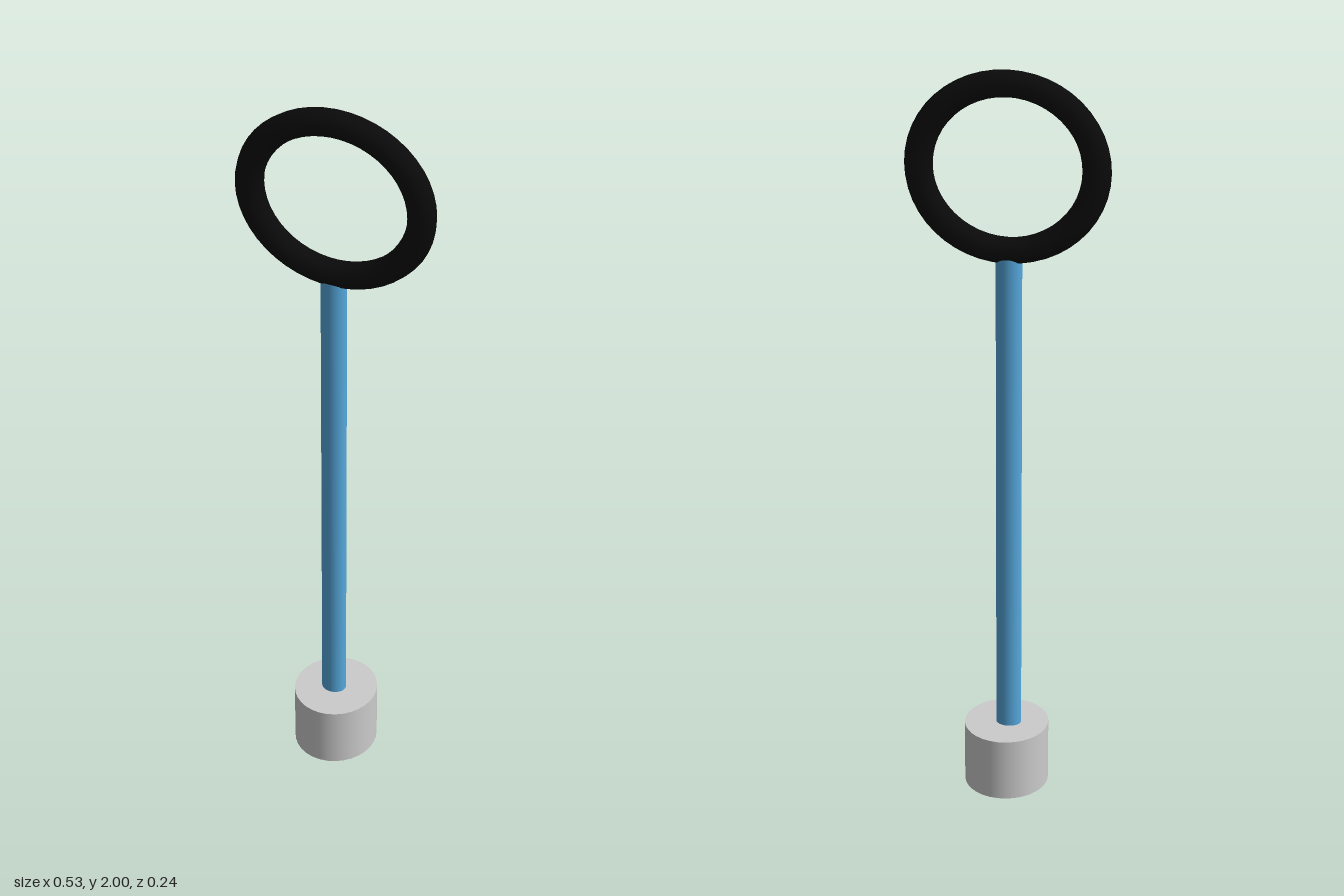
import * as THREE from 'three';

const paint = (color) => new THREE.MeshStandardMaterial({ color });

function addPart(group, name, geometry, material) {
  const mesh = new THREE.Mesh(geometry, material);
  mesh.name = name;
  group.add(mesh);
  return mesh;
}

// Upright cylinder with an oval section, from y0 to y1
function ovalColumn(rx, rz, y0, y1, sides) {
  return new THREE.CylinderGeometry(1, 1, y1 - y0, sides)
    .scale(rx, 1, rz)
    .translate(0, (y0 + y1) / 2, 0);
}

export function createModel() {
  const model = new THREE.Group();
  model.name = 'ringWand';

  // Heavy foot
  addPart(model, 'base', ovalColumn(0.114, 0.122, 0, 0.175, 32), paint(0xcccccc));

  // Slim handle, its top sunk into the ring
  const handle = addPart(model, 'handle', ovalColumn(0.034, 0.029, 0.17, 1.535, 32), paint(0x56a8dc));
  handle.position.x = -0.006;

  // Slightly wide ring, leaning a little forward
  const ring = addPart(model, 'ring', new THREE.TorusGeometry(0.215, 0.035, 12, 48), paint(0x0a0a0a));
  ring.scale.set(1.06, 1, 0.97);
  ring.rotation.x = 0.033;
  ring.position.set(0, 1.75, 0.0075);

  return model;
}
